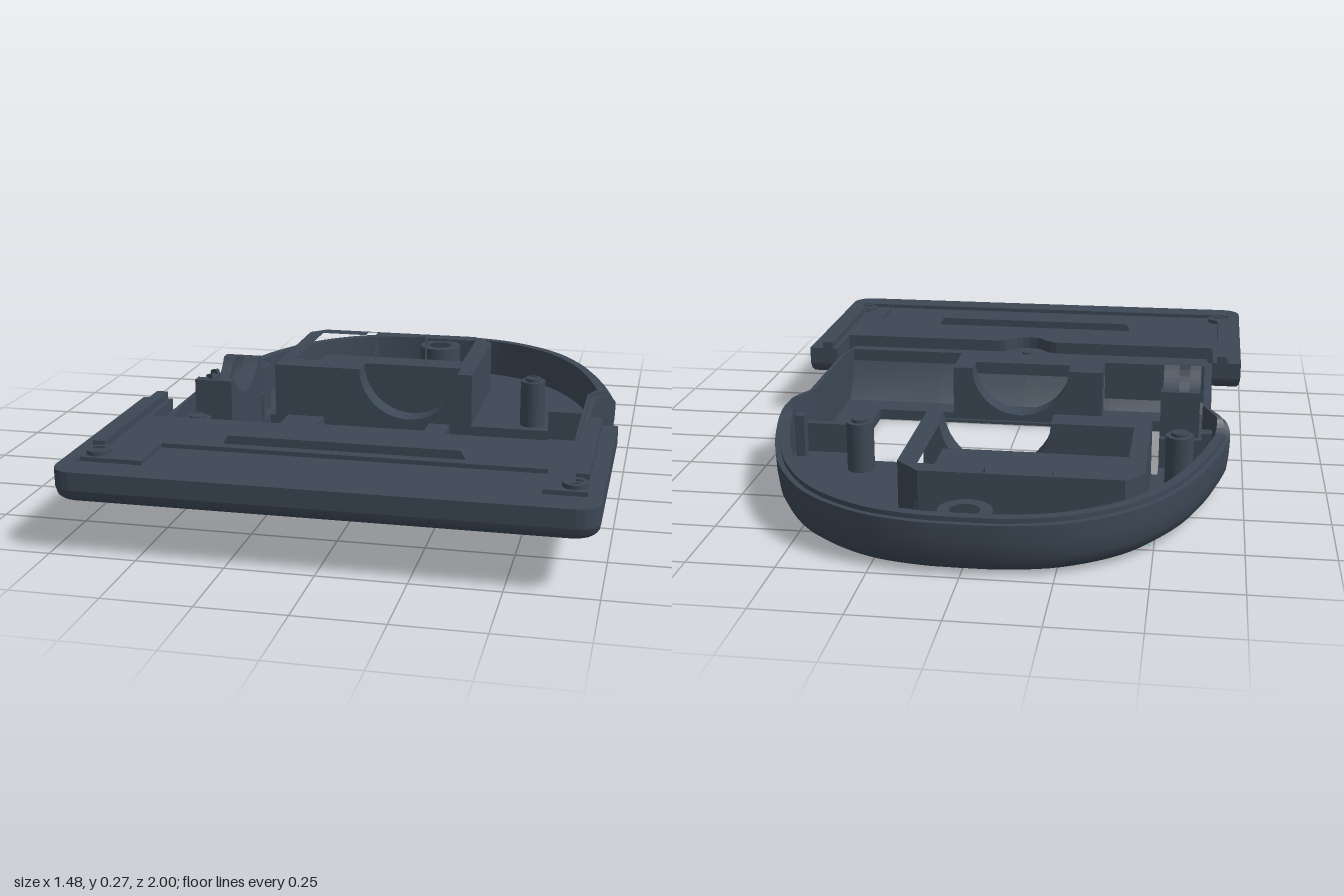
import * as THREE from 'three';
import { toCreasedNormals } from 'three/addons/utils/BufferGeometryUtils.js';

const shellMat = new THREE.MeshStandardMaterial({ color: 0x3d4856 });
shellMat.name = 'slate plastic';
const printMat = new THREE.MeshStandardMaterial({ color: 0x5fb590, side: THREE.DoubleSide });
printMat.name = 'green print';

// Plan points are [x, z]; the shape plane is laid flat with y up.
const plan = (pts) => pts.map(([x, z]) => new THREE.Vector2(x, -z));
const rect = (x0, z0, x1, z1) => [[x0, z0], [x1, z0], [x1, z1], [x0, z1]];
const circle = (cx, cz, r, n = 20) => Array.from({ length: n }, (_, i) => {
  const a = (i / n) * Math.PI * 2;
  return [cx + r * Math.cos(a), cz + r * Math.sin(a)];
});
function slab(pts, y0, y1, holes = []) {
  const s = new THREE.Shape(plan(pts));
  holes.forEach((h) => s.holes.push(new THREE.Path(plan(h))));
  return new THREE.ExtrudeGeometry(s, { depth: y1 - y0, bevelEnabled: false })
    .rotateX(-Math.PI / 2).translate(0, y0, 0);
}

// Wall with a round notch in its top edge, extruded along z from 0
function cradleWall(half, y0, y1, cy, r, depth) {
  const s = new THREE.Shape();
  const a = Math.asin(Math.min(1, (y1 - cy) / r));
  s.moveTo(-half, y0).lineTo(half, y0).lineTo(half, y1);
  for (let i = 0; i <= 20; i++) {
    const t = a + (i / 20) * (-Math.PI - 2 * a);
    s.lineTo(r * Math.cos(t), cy + r * Math.sin(t));
  }
  s.lineTo(-half, y1);
  return new THREE.ExtrudeGeometry(s, { depth, bevelEnabled: false });
}

// Shell outline: straight waist, then a flared dome at the back
function shellOutline() {
  const right = [[0, 0.46], [0.3, 0.46], [0.645, 0.46], [0.645, 0.28], [0.645, 0.1], [0.645, -0.08]];
  const dome = new THREE.CatmullRomCurve3([[0.645, -0.11], [0.665, -0.15], [0.695, -0.185],
    [0.705, -0.23], [0.69, -0.31], [0.645, -0.48], [0.57, -0.67], [0.45, -0.84], [0.28, -0.955],
    [0.12, -0.995], [0, -1]].map(([x, z]) => new THREE.Vector3(x, 0, z)));
  dome.getPoints(50).forEach((p) => right.push([p.x, p.z]));
  const left = right.slice(1, -1).reverse().map(([x, z]) => [-x, z]);
  return right.concat(left);
}

// Moves an outline inward by depth(z) with mitred corners; f draws the front edge further back
function inset(outline, depth, f) {
  const n = outline.length;
  const normal = (a, b) => {
    const l = Math.hypot(b[0] - a[0], b[1] - a[1]);
    return [(b[1] - a[1]) / l, -(b[0] - a[0]) / l];
  };
  return outline.map((p, i) => {
    const u = normal(outline[(i + n - 1) % n], p), v = normal(p, outline[(i + 1) % n]);
    const k = depth(p[1]) / (1 + u[0] * v[0] + u[1] * v[1]);
    const x = p[0] + (u[0] + v[0]) * k, z = p[1] + (u[1] + v[1]) * k;
    return [x, z > 0 ? z * (0.46 - f) / 0.46 : z];
  });
}

// Stitches rings of equal length, [points, y by point index]
function loft(rings) {
  const pos = [], idx = [], n = rings[0][0].length;
  rings.forEach(([pts, y], k) => pts.forEach(([x, z], i) => {
    pos.push(x, y(i), z);
    if (k === rings.length - 1) return;
    const j = (i + 1) % n, a = k * n + i, b = k * n + j;
    idx.push(a, b, b + n, a, b + n, a + n);
  }));
  const g = new THREE.BufferGeometry();
  g.setAttribute('position', new THREE.Float32BufferAttribute(pos, 3));
  g.setIndex(idx);
  return toCreasedNormals(g, 0.6);
}

export function createModel() {
  const model = new THREE.Group();
  const add = (name, geo, mat = shellMat) => {
    const m = new THREE.Mesh(geo, mat);
    m.name = name;
    model.add(m);
    return m;
  };
  const box = (name, x0, x1, y0, y1, z0, z1) =>
    add(name, new THREE.BoxGeometry(x1 - x0, y1 - y0, z1 - z0)
      .translate((x0 + x1) / 2, (y0 + y1) / 2, (z0 + z1) / 2));
  const FLOOR = 0.035;

  // Curved outer shell with stepped rim; the waist wall is thinner than the dome wall
  const outline = shellOutline();
  const rimY = (z) => z > 0.29 ? 0.198
    : THREE.MathUtils.lerp(0.165, 0.215, THREE.MathUtils.smoothstep(z, -0.26, -0.14));
  const inner = (z) => THREE.MathUtils.lerp(0.045, 0.025, THREE.MathUtils.smoothstep(z, -0.25, -0.12));
  const ring = (d, f, y) => [inset(outline, () => d, f), () => y];
  const rim = (depth, drop) => [inset(outline, depth, 0), (i) => rimY(outline[i][1]) - drop];
  add('shellWall', loft([
    ring(0.07, 0.13, 0), ring(0.045, 0.115, 0.007), ring(0.022, 0.085, 0.025), ring(0.008, 0.058, 0.055),
    ring(0.002, 0.023, 0.1), ring(0, 0, 0.145), rim(() => 0, 0.014), rim(() => 0.016, 0.014),
    rim(() => 0.016, 0), rim(inner, 0), [inset(outline, inner, 0.03), () => 0.11],
    [inset(outline, inner, 0.1), () => FLOOR],
  ]));
  const opening = rect(-0.49, -0.26, 0.49, 0.245);
  add('shellUnderside', slab(inset(outline, () => 0.07, 0.13), 0, 0.03, [opening, circle(0, -0.895, 0.034)]));
  add('shellFloor', slab(inset(outline, inner, 0.1), 0.03, FLOOR, [opening, circle(0, -0.895, 0.018)]));

  // Front deck with two pockets, and the bearing wall below it
  add('frontDeck', slab([[-0.625, 0.37], [-0.28, 0.37], [-0.28, 0.245], [-0.17, 0.245], [-0.17, 0.32],
    [0.17, 0.32], [0.17, 0.245], [0.23, 0.245], [0.23, 0.42], [0.625, 0.42], [0.625, 0.53], [-0.625, 0.53]],
  0.157, 0.198));
  const frontBearing = add('frontBearing', cradleWall(0.23, 0.02, 0.198, 0.2, 0.165, 0.075));
  frontBearing.position.z = 0.245;
  box('pocketWall', -0.28, -0.23, 0.02, 0.198, 0.245, 0.32);
  box('pocketBackWall', -0.625, -0.28, 0.06, 0.16, 0.37, 0.385);
  add('deckScrew', new THREE.CylinderGeometry(0.018, 0.018, 0.008, 16).translate(0, 0.2, 0.45));

  // Wide front plate with side ears, a curved notch and a stepped recess
  const corner = [0, 1, 2, 3, 4].map((i) => (i / 4) * Math.PI / 2);
  const bulge = [[-0.1, 0.46], [-0.08, 0.466], [-0.062, 0.482], [-0.045, 0.502], [-0.025, 0.513], [0, 0.517],
    [0.025, 0.513], [0.045, 0.502], [0.062, 0.482], [0.08, 0.466], [0.1, 0.46]];
  const plate = (e) => [
    ...corner.map((a) => [0.68 - e + 0.06 * Math.sin(a), 0.94 - e + 0.06 * Math.cos(a)]),
    [0.74 - e, 0.28 + e], [0.645, 0.28 + e], [0.645, 0.46], ...bulge.slice().reverse(), [-0.645, 0.46],
    [-0.645, 0.28 + e], [-0.74 + e, 0.28 + e],
    ...corner.slice().reverse().map((a) => [-0.68 + e - 0.06 * Math.sin(a), 0.94 - e + 0.06 * Math.cos(a)]),
  ];
  const screwHoles = (r) => [-1, 1].map((s) => circle(s * 0.662, 0.825, r));
  const recess = [[-0.7, 0.915], [0.7, 0.915], [0.7, 0.87], [0.58, 0.87], [0.58, 0.71],
    [-0.52, 0.71], [-0.52, 0.87], [-0.7, 0.87]];
  add('plateUnderside', slab(plate(0.012), 0.155, 0.185, screwHoles(0.034)));
  add('plateEdge', loft([[plate(0.012), () => 0.155], [plate(0.004), () => 0.165], [plate(0), () => 0.185]]));
  add('plateBase', slab(plate(0), 0.185, 0.225, screwHoles(0.022)));
  add('plateTop', slab(plate(0), 0.225, 0.238, [recess, ...screwHoles(0.022)]));

  // Ridge across the plate
  const ridge = new THREE.Shape([[-0.35, 0.236], [0.35, 0.236], [0.335, 0.263], [-0.335, 0.263]]
    .map(([x, y]) => new THREE.Vector2(x, y)));
  add('plateRidge', new THREE.ExtrudeGeometry(ridge, { depth: 0.03, bevelEnabled: false }).translate(0, 0, 0.648));

  // Side rails, screw bosses, waist ribs and rim tabs
  for (const s of [-1, 1]) {
    const span = (a, b) => [s * a, s * b].sort((p, q) => p - q);
    box('sideRail', ...span(0.66, 0.695), 0.236, 0.26, 0.28, 0.79);
    add('plateBoss', slab(circle(s * 0.662, 0.825, 0.035), 0.236, 0.25, [circle(s * 0.662, 0.825, 0.022)]));
    box('waistRib', ...span(0.49, 0.625), 0.02, 0.13, -0.2, -0.175);
    box('rimTab', ...span(0.62, 0.65), FLOOR, 0.17, -0.25, -0.21);
  }

  // Rear compartment with raised floor, chamfered corners and two clip slots
  add('rearCompartment', slab(
    [[-0.47, -0.34], [-0.47, -0.74], [-0.42, -0.79], [0.15, -0.79], [0.22, -0.72], [0.22, -0.34]],
    0.02, 0.215,
    [[[-0.42, -0.35], [-0.42, -0.735], [-0.255, -0.735], [-0.255, -0.78], [-0.22, -0.78], [-0.22, -0.735],
      [-0.065, -0.735], [-0.065, -0.78], [-0.03, -0.78], [-0.03, -0.735], [0.16, -0.735], [0.16, -0.35]]]));
  box('compartmentFloor', -0.42, 0.16, 0.02, 0.12, -0.785, -0.345);
  const rearBearing = add('rearBearing', cradleWall(0.22, 0.02, 0.215, 0.215, 0.17, 0.09));
  rearBearing.position.z = -0.35;
  box('compartmentFrontWall', -0.47, -0.22, 0.02, 0.215, -0.35, -0.26);

  // Side cradle: two notched walls with a lower saddle between
  [[-0.54, 0.345, 0.15, 0.05], [-0.61, 0.345, 0.15, 0.035], [-0.58, 0.31, 0.155, 0.045]].forEach(([x, cy, r, w], i) => {
    add(i < 2 ? 'sideCradle' : 'cradleSaddle', cradleWall(0.165, 0.02, 0.27, cy, r, w)
      .rotateY(Math.PI / 2).translate(x, 0, 0));
  });

  // Hollow screw posts
  const post = (x, z, r, hole, y0, top) => add('screwPost', slab(circle(x, z, r, 28), y0, top, [circle(x, z, hole)]));
  [[-0.555, -0.33], [0.42, -0.33], [-0.555, 0.31]].forEach(([x, z]) => {
    post(x, z, 0.042, 0.017, 0.02, 0.19);
    post(x, z, 0.026, 0.017, 0.18, 0.2);
  });
  post(0, -0.895, 0.075, 0.042, FLOOR, 0.15);
  post(0, -0.895, 0.044, 0.018, FLOOR, 0.12);

  // Leaf-like prints and dots on the underside
  const leaf = [0.095, 0.04, 0.075, 0.03, 0.085, 0.045, 0.055, 0.03, 0.095, 0.035, 0.065, 0.04, 0.08, 0.035]
    .map((r, i, l) => {
      const a = (i / l.length) * Math.PI * 2;
      return new THREE.Vector2(r * Math.cos(a), r * Math.sin(a));
    });
  const print = (name, geo, x, z) => add(name, geo.rotateX(Math.PI / 2), printMat).position.set(x, -0.002, z);
  const spots = [0.54, 0.34, 0.12, -0.12, -0.34, -0.53].map((x) => [x, -0.355])
    .concat([[0.42, -0.64], [0.24, -0.59], [0.03, -0.64], [-0.2, -0.64], [-0.43, -0.65], [0.19, -0.83]]);
  spots.forEach(([x, z], i) =>
    print('leafPrint', new THREE.ShapeGeometry(new THREE.Shape(leaf)).rotateZ(i * 0.4), x, z));
  [[0.11, -0.9], [-0.16, -0.89]].forEach(([x, z]) => print('dotPrint', new THREE.CircleGeometry(0.018, 12), x, z));
  return model;
}
